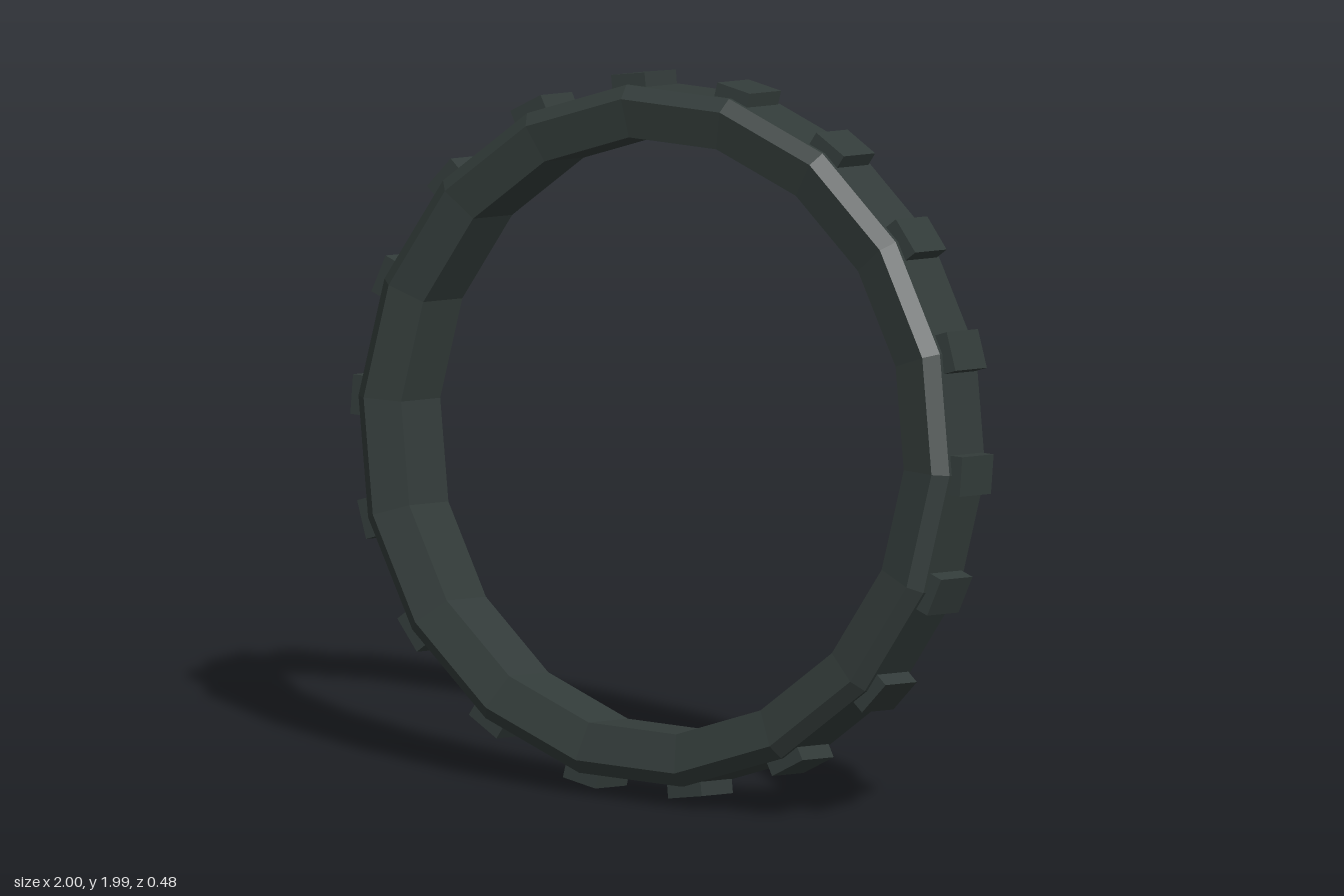
import * as THREE from 'three';

const SIDES = 18;
const TILT = THREE.MathUtils.degToRad(7.2);

export function createModel() {
  const rubber = new THREE.MeshStandardMaterial({ color: 0x333c3a, flatShading: true });
  rubber.name = 'dark rubber';

  const model = new THREE.Group();
  model.name = 'tire';
  model.position.y = 0.996;
  model.rotation.x = -TILT; // the top leans back

  // Tire body: closed profile of (radius, axial offset), spun about z
  const profile = [
    [0.825, -0.1], [0.932, -0.125], [0.97, -0.092],
    [0.97, 0.092], [0.932, 0.125], [0.825, 0.1], [0.825, -0.1],
  ].map(([r, a]) => new THREE.Vector2(r, a));
  const bodyGeometry = new THREE.LatheGeometry(profile, SIDES, Math.PI / SIDES);
  bodyGeometry.rotateX(Math.PI / 2);
  const body = new THREE.Mesh(bodyGeometry, rubber);
  body.name = 'tireBody';
  model.add(body);

  // Tread lugs: one block on every corner of the ring
  const lugGeometry = new THREE.BoxGeometry(0.06, 0.11, 0.16);
  lugGeometry.translate(0.97, 0, 0);
  for (let i = 0; i < SIDES; i++) {
    const lug = new THREE.Mesh(lugGeometry, rubber);
    lug.name = `treadLug${i + 1}`;
    lug.rotation.z = (i / SIDES) * Math.PI * 2;
    model.add(lug);
  }

  const root = new THREE.Group();
  root.name = 'leaningTire';
  root.add(model);
  return root;
}
